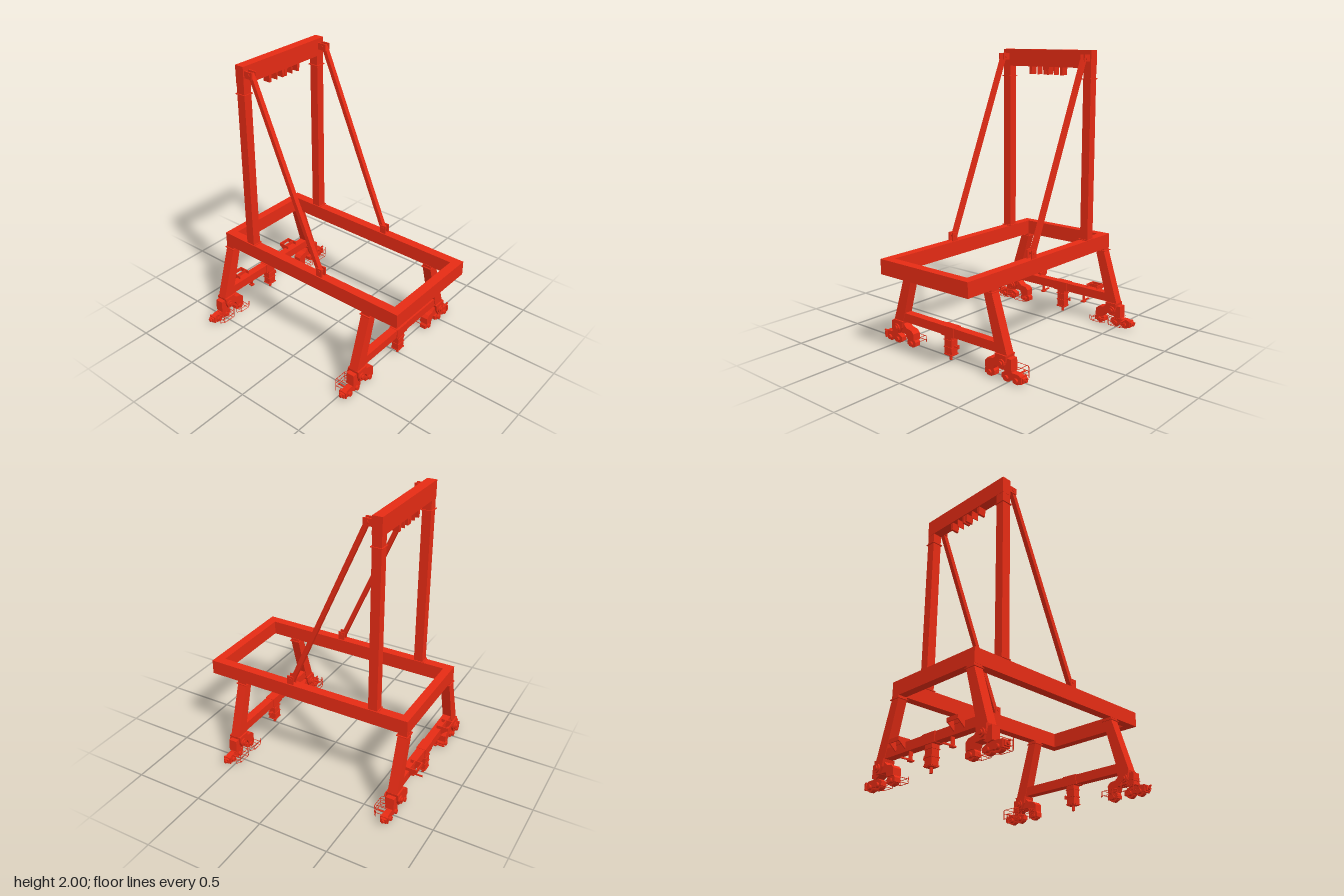
import * as THREE from 'three';

const red = new THREE.MeshStandardMaterial({ color: 0xe62b14 });
const UP = new THREE.Vector3(0, 1, 0);

export function createModel() {
  const model = new THREE.Group();
  model.name = 'gantryCrane';

  const add = (parent, name, geometry) => {
    const mesh = new THREE.Mesh(geometry, red);
    mesh.name = name;
    parent.add(mesh);
    return mesh;
  };
  const group = (name, parent = model) => {
    const g = new THREE.Group();
    g.name = name;
    parent.add(g);
    return g;
  };
  // Box from opposite corners, given in any order
  const box = (parent, name, x0, x1, y0, y1, z0, z1) => {
    const g = new THREE.BoxGeometry(Math.abs(x1 - x0), Math.abs(y1 - y0), Math.abs(z1 - z0));
    add(parent, name, g).position.set((x0 + x1) / 2, (y0 + y1) / 2, (z0 + z1) / 2);
  };
  // Outline in x and y, extruded symmetrically about z
  const plate = (parent, name, points, z, depth) => {
    const shape = new THREE.Shape(points.map(([x, y]) => new THREE.Vector2(x, y)));
    const g = new THREE.ExtrudeGeometry(shape, { depth, bevelEnabled: false });
    add(parent, name, g.translate(0, 0, z - depth / 2));
  };
  // Round rod between two points
  const rod = (parent, name, a, b, r, sides = 6) => {
    const p = new THREE.Vector3(...a), q = new THREE.Vector3(...b);
    const d = q.clone().sub(p);
    const m = add(parent, name, new THREE.CylinderGeometry(r, r, d.length(), sides));
    m.position.copy(p).add(q).multiplyScalar(0.5);
    m.quaternion.setFromUnitVectors(UP, d.normalize());
  };

  // Portal frame
  const frame = group('portalFrame');
  for (const s of [-1, 1]) box(frame, 'sideBeam', s * 0.32, s * 0.384, 0.577, 0.68, -0.735, 0.787);
  box(frame, 'frontBeam', -0.32, 0.32, 0.577, 0.68, 0.722, 0.787);
  box(frame, 'backBeam', -0.32, 0.32, 0.577, 0.68, -0.735, -0.677);

  // Upper frame with stays
  const mast = group('upperFrame');
  box(mast, 'topBeam', -0.384, 0.384, 1.88, 2, -0.52, -0.452);
  for (const s of [-1, 1]) {
    box(mast, 'post', s * 0.321, s * 0.383, 0.68, 1.88, -0.518, -0.454);
    box(mast, 'postFlange', s * 0.313, s * 0.391, 1.805, 1.811, -0.526, -0.446);
    box(mast, 'postFoot', s * 0.313, s * 0.391, 0.68, 0.686, -0.526, -0.446);
    for (const e of [-1, 1]) {
      const x = s * 0.352 + e * 0.018;
      box(mast, 'lowerStayLug', x - 0.005, x + 0.005, 0.68, 0.74, 0.118, 0.165);
      box(mast, 'upperStayLug', x - 0.005, x + 0.005, 1.925, 1.972, -0.454, -0.388);
    }
    rod(mast, 'lowerStayPin', [s * 0.352 - 0.027, 0.718, 0.14], [s * 0.352 + 0.027, 0.718, 0.14], 0.011, 12);
    rod(mast, 'upperStayPin', [s * 0.352 - 0.027, 1.948, -0.415], [s * 0.352 + 0.027, 1.948, -0.415], 0.011, 12);
    const a = new THREE.Vector3(s * 0.352, 0.7, 0.135), b = new THREE.Vector3(s * 0.352, 1.96, -0.415);
    const stay = add(mast, 'diagonalStay', new THREE.BoxGeometry(0.032, a.distanceTo(b), 0.03));
    stay.position.copy(a).add(b).multiplyScalar(0.5);
    stay.quaternion.setFromUnitVectors(UP, b.clone().sub(a).normalize());
  }
  // Tapered rope brackets below the top beam
  for (const [x, w] of [[-0.138, 0.016], [-0.075, 0.004], [-0.014, 0.016], [0.012, 0.016], [0.07, 0.004], [0.132, 0.016]]) {
    plate(mast, 'ropeBracket', [[x - w * 0.8, 1.88], [x - w / 2, 1.825], [x + w / 2, 1.825], [x + w * 0.8, 1.88]], -0.486, 0.055);
  }

  // Leg frames, front and back
  for (const [z, sz] of [[0.54, 1], [-0.703, -1]]) {
    const side = group(sz > 0 ? 'frontLegFrame' : 'backLegFrame');
    box(side, 'sillBeam', -0.43, 0.43, 0.183, 0.245, z - 0.029, z + 0.029);
    box(side, 'sillJoint', -0.058, 0.058, 0.18, 0.248, z - 0.034, z + 0.034);
    box(side, 'centreHousing', -0.032, 0.032, 0.045, 0.183, z - 0.027, z + 0.027);
    for (const y of [0.05, 0.1, 0.15]) box(side, 'housingRib', -0.036, 0.036, y, y + 0.006, z - 0.032, z + 0.032);
    rod(side, 'anchorPin', [0, 0.01, z], [0, 0.06, z], 0.01, 10);
    box(side, 'leverArm', 0.03, 0.07, 0.106, 0.114, z - 0.006, z + 0.006);
    box(side, 'leverGrip', 0.06, 0.068, 0.1, 0.125, z - 0.008, z + 0.008);
    for (const s of [-1, 1]) {
      plate(side, 'leg', [[s * 0.316, 0.58], [s * 0.383, 0.58], [s * 0.383, 0.56], [s * 0.505, 0.18], [s * 0.42, 0.18], [s * 0.316, 0.555]], z, 0.066);
      box(side, 'legFlange', s * 0.309, s * 0.393, 0.556, 0.562, z - 0.04, z + 0.04);
      if (sz < 0) {
        // Open service trays and hangers on the back sill
        for (const x of [0.218, 0.308]) {
          box(side, 'traySide', s * x, s * (x + 0.007), 0.243, 0.269, -0.787, -0.7);
          const bracket = new THREE.Shape([[0.73, 0.2], [0.78, 0.243], [0.73, 0.243]].map(p => new THREE.Vector2(...p)));
          const g = new THREE.ExtrudeGeometry(bracket, { depth: 0.007, bevelEnabled: false });
          add(side, 'trayBracket', g.rotateY(Math.PI / 2).translate(s * (x + 0.0035) - 0.0035, 0, 0));
        }
        box(side, 'trayEnd', s * 0.218, s * 0.315, 0.243, 0.269, -0.787, -0.78);
        box(side, 'trayBack', s * 0.218, s * 0.315, 0.243, 0.269, -0.737, -0.73);
        box(side, 'hanger', s * 0.186, s * 0.194, 0.13, 0.185, z - 0.02, z + 0.005);
        box(side, 'hangerArm', s * 0.186, s * 0.194, 0.126, 0.136, -0.78, z);
        box(side, 'hangerFoot', s * 0.175, s * 0.205, 0.12, 0.13, z - 0.02, z + 0.01);
      }
      bogie(side, s, z, sz);
    }
  }

  // Wheel set under one leg; the guards face the middle of the crane
  function bogie(parent, s, z, sz) {
    const b = group('bogie', parent);
    const P = pts => pts.map(([x, y]) => [s * x, y]);
    plate(b, 'legFork', P([[0.415, 0.183], [0.505, 0.183], [0.5, 0.135], [0.485, 0.092], [0.45, 0.092], [0.425, 0.135]]), z, 0.088);
    plate(b, 'equalizer', P([[0.325, 0.062], [0.325, 0.11], [0.345, 0.13], [0.39, 0.138], [0.42, 0.165], [0.535, 0.165],
      [0.538, 0.08], [0.5, 0.07], [0.46, 0.095], [0.4, 0.095], [0.385, 0.062]]), z, 0.06);
    rod(b, 'pivotPin', [s * 0.47, 0.13, z - 0.064], [s * 0.47, 0.13, z + 0.064], 0.016, 16);
    rod(b, 'pivotBoss', [s * 0.47, 0.13, z - 0.054], [s * 0.47, 0.13, z + 0.054], 0.028, 16);
    plate(b, 'outerTruck', P([[0.45, 0.025], [0.45, 0.055], [0.49, 0.075], [0.58, 0.075], [0.625, 0.06], [0.625, 0.03]]), z, 0.04);
    plate(b, 'innerTruck', P([[0.315, 0.022], [0.315, 0.05], [0.33, 0.07], [0.38, 0.07], [0.395, 0.05], [0.395, 0.022]]), z, 0.044);
    for (const x of [0.355, 0.49, 0.567]) {
      rod(b, 'wheel', [s * x, 0.034, z - 0.014], [s * x, 0.034, z + 0.014], 0.03, 20);
      rod(b, 'axle', [s * x, 0.034, z - 0.034], [s * x, 0.034, z + 0.034], 0.017, 12);
    }
    box(b, 'buffer', s * 0.6, s * 0.613, 0.022, 0.07, z - 0.028, z + 0.028);
    rod(b, 'bumper', [s * 0.61, 0.045, z], [s * 0.637, 0.045, z], 0.011, 10);
    rod(b, 'lamp', [s * 0.63, 0.06, z], [s * 0.645, 0.06, z], 0.006, 8);
    const inZ = d => z - sz * d;
    rod(b, 'brakeArm', [s * 0.568, 0.07, z], [s * 0.568, 0.07, inZ(0.068)], 0.006, 8);

    for (const [x0, x1] of [[0.3, 0.43], [0.455, 0.6]]) {
      const guard = group('wheelGuard', b);
      const path = [[x0, 0.068], [x0 + 0.025, 0.09], [x1 - 0.025, 0.09], [x1, 0.068]];
      for (const y of [0.035, 0.065, 0.098]) {
        if (x0 < 0.4 && y > 0.09) continue;
        for (let i = 0; i < 3; i++) {
          const [p, q] = [path[i], path[i + 1]];
          rod(guard, 'guardRail', [s * p[0], y, inZ(p[1])], [s * q[0], y, inZ(q[1])], 0.002, 5);
        }
        for (const x of [x0 + 0.035, x1 - 0.035])
          rod(guard, 'guardStrut', [s * x, y, z], [s * x, y, inZ(0.09)], 0.002, 5);
      }
      const top = x0 < 0.4 ? 0.065 : 0.098;
      for (const [x, d] of path) rod(guard, 'guardPost', [s * x, 0.035, inZ(d)], [s * x, top, inZ(d)], 0.002, 5);
    }
  }

  return model;
}
